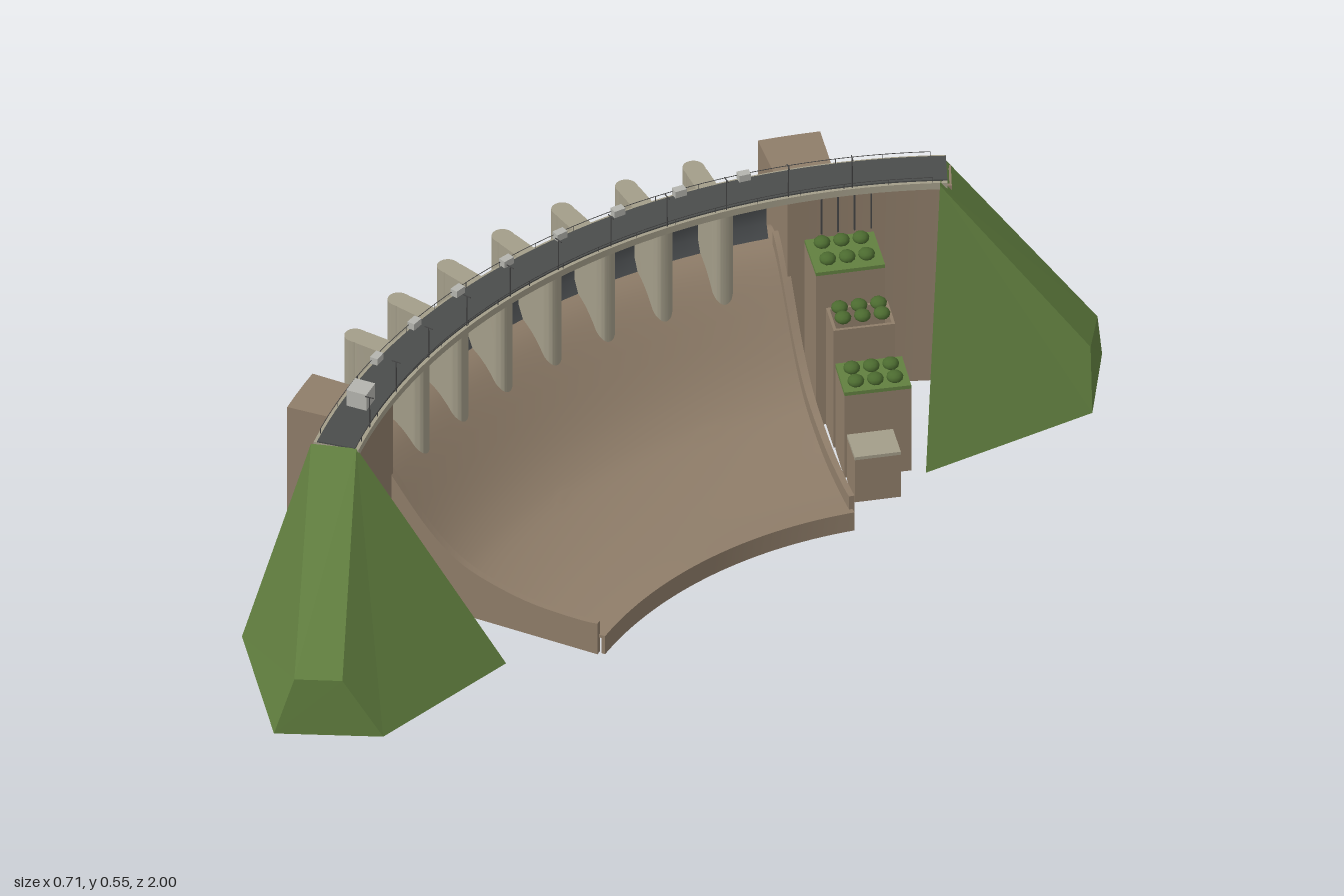
import * as THREE from 'three';
import { toCreasedNormals } from 'three/addons/utils/BufferGeometryUtils.js';

const CX = 1.06; // centre of the arch in plan
const rad = (d) => d * Math.PI / 180;
const A0 = -20.9, BAY = 5.85, A1 = A0 + 8 * BAY; // eight spillway bays
const T = 0.006; // shell thickness

const mat = (name, color) => Object.assign(new THREE.MeshStandardMaterial({ color }), { name });
const rock = mat('brown concrete', 0x8f7d69);
const concrete = mat('pale concrete', 0xa39d89);
const asphalt = mat('asphalt', 0x4a4c4b);
const steel = mat('gate steel', 0x4b4e50);
const grass = mat('grass', 0x628040);
grass.side = THREE.DoubleSide;
const shrub = mat('shrub green', 0x4c6b30);
const metal = mat('dark metal', 0x444444);
const house = mat('light grey', 0xb4b4ae);

export function createModel() {
  const root = new THREE.Group();
  root.name = 'archDam';

  const add = (name, geo, material, parent = root) => {
    const m = new THREE.Mesh(geo, material);
    m.name = name;
    parent.add(m);
    return m;
  };
  // Place an object at radius r and angle a, local +x pointing downstream
  const place = (o, r, a, y) => {
    o.position.set(CX - r * Math.cos(rad(a)), y, r * Math.sin(rad(a)));
    o.rotation.y = rad(a);
    return o;
  };
  // Sweep a closed (radius, height) profile along the arch from angle a to b
  const sweep = (name, pts, a, b, material) => {
    const shape = new THREE.Shape(pts.map(([r, y]) => new THREE.Vector2(r, y)));
    const steps = Math.max(1, Math.round((b - a) / 1.5));
    const g = new THREE.ExtrudeGeometry(shape, { depth: 1, steps, bevelEnabled: false });
    const p = g.attributes.position;
    for (let i = 0; i < p.count; i++) {
      const r = p.getX(i), t = rad(b + (a - b) * p.getZ(i));
      p.setXYZ(i, CX - r * Math.cos(t), p.getY(i), r * Math.sin(t));
    }
    return add(name, toCreasedNormals(g, 0.5), material);
  };
  const band = (name, r0, r1, y0, y1, a, b, material) =>
    sweep(name, [[r0, y0], [r1, y0], [r1, y1], [r0, y1]], a, b, material);

  // Spillway shell: rounded crest, steep chute, flat apron with an end sill
  const curve = new THREE.SplineCurve([
    [1.375, 0.15], [1.374, 0.22], [1.372, 0.29], [1.364, 0.314], [1.342, 0.327], [1.31, 0.322],
    [1.26, 0.284], [1.17, 0.166], [1.11, 0.107], [1.05, 0.074], [0.95, 0.047], [0.85, 0.04], [0.782, 0.043],
  ].map(([r, y]) => new THREE.Vector2(r, y)));
  const top = [], under = [];
  for (let i = 0; i <= 48; i++) {
    const p = curve.getPoint(i / 48), t = curve.getTangent(i / 48);
    top.push([p.x, p.y]);
    under.unshift([p.x - t.y * T, p.y + t.x * T]);
  }
  sweep('spillway', [...top, [0.782, 0], [0.79, 0], [0.79, 0.036], ...under.slice(2)], A0, A1, rock);
  band('upstreamBaseWall', 1.38 - T, 1.38, 0, 0.15, A0, A1, concrete);

  // Training walls that follow the chute on both sides
  const wallTop = top.filter(([r]) => r < 1.3 && r > 0.8).map(([r, y]) => [r, y + 0.03]);
  for (const a of [A0 - 0.3, A1 - 0.3]) {
    sweep('trainingWall', [[1.3, 0], ...wallTop, [0.795, 0.073], [0.795, 0]], a, a + 0.8, rock);
  }

  // Piers with rounded ends; the upstream noses reach the ground
  const capsule = (r0, r1, w, y0, y1) => {
    const h = w / 2, s = new THREE.Shape();
    s.absarc(-r1 + h, 0, h, Math.PI / 2, Math.PI * 1.5, false);
    s.absarc(-r0 - h, 0, h, -Math.PI / 2, Math.PI / 2, false);
    const g = new THREE.ExtrudeGeometry(s, { depth: y1 - y0, bevelEnabled: false, curveSegments: 10 });
    g.rotateX(-Math.PI / 2).translate(0, y0, 0);
    return toCreasedNormals(g, 0.6);
  };
  const body = capsule(1.232, 1.4, 0.042, 0.245, 0.463);
  const nose = capsule(1.37, 1.418, 0.042, 0, 0.463);
  for (let k = 1; k < 8; k++) {
    const pier = new THREE.Group();
    pier.name = 'pier';
    add('pierBody', body, concrete, pier);
    add('pierNose', nose, concrete, pier);
    root.add(place(pier, 0, A0 + k * BAY, 0));
  }

  // Curved gates and hoist boxes, one per bay
  for (let k = 0; k < 8; k++) {
    const a = A0 + k * BAY, mid = a + BAY / 2;
    sweep('gate', [[1.322, 0.32], [1.335, 0.35], [1.335, 0.39], [1.322, 0.42],
      [1.312, 0.42], [1.324, 0.388], [1.324, 0.35], [1.31, 0.32]], a + 0.7, a + BAY - 0.7, steel);
    place(add('hoistBox', new THREE.BoxGeometry(0.016, 0.016, 0.024), house), 1.307, mid, 0.486);
  }

  // Hollow abutment blocks beside the spillway
  for (const [r, a, b] of [[1.437, -25.8, A0], [1.407, A1 + 0.2, 30.9]]) {
    const q = 1.235, h = 0.463;
    sweep('abutment', [[q, 0], [q, h], [r, h], [r, 0], [r - T, 0], [r - T, h - T], [q + T, h - T], [q + T, 0]],
      a, b, rock);
    for (const e of [a, b - 0.25]) band('abutmentEnd', q, r, 0, h, e, e + 0.25, rock);
  }

  // Wing walls: brown downstream and at the end, pale upstream
  for (const [a, b, end] of [[-35.5, -25.8, -35.7], [30.9, 35.5, 35.5]]) {
    band('wingWall', 1.235, 1.235 + T, 0, 0.463, a, b, rock);
    band('wingWallFace', 1.3 - T, 1.3, 0, 0.463, a, b, concrete);
    band('wingWallEnd', 1.235, 1.3, 0, 0.463, end, end + 0.2, rock);
  }

  // Crest road with kerbs and thin handrails
  band('deck', 1.226, 1.316, 0.461, 0.476, -35.3, 35.3, concrete);
  band('road', 1.233, 1.309, 0.476, 0.479, -35.3, 35.3, asphalt);
  for (const r of [1.229, 1.312]) {
    band('handrail', r - 0.0005, r + 0.0005, 0.487, 0.488, -34, 34, metal);
    for (let a = -34; a <= 34; a += 4) {
      place(add('railPost', new THREE.BoxGeometry(0.001, 0.012, 0.001), metal), r, a, 0.482);
    }
  }

  // Lamp posts with a crossbar
  for (let k = -1; k < 10; k++) {
    const lamp = new THREE.Group();
    lamp.name = 'lampPost';
    add('lampPole', new THREE.CylinderGeometry(0.001, 0.0015, 0.07, 6), metal, lamp).position.y = 0.035;
    add('lampArm', new THREE.BoxGeometry(0.018, 0.0015, 0.002), metal, lamp).position.y = 0.07;
    root.add(place(lamp, 1.23, A0 + k * BAY, 0.477));
  }

  // Control house
  place(add('controlHouse', new THREE.BoxGeometry(0.042, 0.038, 0.042), house), 1.275, 28.8, 0.497);

  // Four retaining walls around an open rectangle
  const walls = (w, h, d) => {
    const rect = (C, x, z) => new C([[-x, -z], [x, -z], [x, z], [-x, z]].map((p) => new THREE.Vector2(...p)));
    const s = rect(THREE.Shape, w / 2, d / 2);
    s.holes.push(rect(THREE.Path, w / 2 - T, d / 2 - T));
    return new THREE.ExtrudeGeometry(s, { depth: h, bevelEnabled: false }).rotateX(-Math.PI / 2);
  };
  // Terraces stepping down beside the chute: two lawns and an open planter between them
  const bush = new THREE.IcosahedronGeometry(0.0165, 1);
  for (const [r, a, y, w, d, lawn] of [[1.185, -25.6, 0.355, 0.12, 0.135, true],
    [1.085, -26.2, 0.278, 0.075, 0.12, false], [0.995, -26.6, 0.195, 0.095, 0.13, true]]) {
    const terrace = new THREE.Group();
    terrace.name = 'terrace';
    add('terraceWalls', walls(w, y, d), rock, terrace);
    if (lawn) add('lawn', new THREE.BoxGeometry(w, 0.008, d), grass, terrace).position.y = y + 0.004;
    for (let i = 0; i < 6; i++) {
      const b = add('shrub', bush, shrub, terrace);
      b.position.set((i % 2 - 0.5) * w * 0.45, y + 0.014, (Math.floor(i / 2) - 1) * 0.038);
      b.scale.y = 0.72;
    }
    root.add(place(terrace, r, a, 0));
  }
  place(add('lowerStep', walls(0.075, 0.1, 0.09), rock), 0.905, -25.6, 0);
  place(add('lowerStepCap', new THREE.BoxGeometry(0.075, 0.007, 0.09), concrete), 0.905, -25.6, 0.1035);

  // Dark slots in the wall above the upper terrace
  for (let k = 0; k < 4; k++) {
    place(add('wallSlot', new THREE.BoxGeometry(0.004, 0.085, 0.003), metal), 1.234, -24 - k * 1.5, 0.415);
  }

  // Faceted hillsides at both ends, open underneath: base 0-3, shoulder 4-5, ridge 6-7
  const hill = (pts, flip) => {
    const quads = [[0, 1, 4, 6], [1, 2, 5, 4], [2, 3, 7, 5], [3, 0, 6, 7], [4, 5, 7, 6]];
    const corners = quads.flatMap(([a, b, c, d]) => flip ? [c, b, a, d, c, a] : [a, b, c, a, c, d]);
    const g = new THREE.BufferGeometry();
    g.setAttribute('position', new THREE.Float32BufferAttribute(corners.flatMap((i) => pts[i]), 3));
    g.computeVertexNormals();
    add('hillside', g, grass);
  };
  hill([[-0.11, 0, 0.86], [0.175, 0, 1], [0.31, 0, 0.84], [0.265, 0, 0.51],
    [0.2, 0.13, 0.97], [0.26, 0.13, 0.9], [-0.01, 0.478, 0.77], [0.055, 0.478, 0.71]], false);
  hill([[-0.125, 0, -0.84], [0.165, 0, -1], [0.305, 0, -0.87], [0.265, 0, -0.5],
    [0.19, 0.117, -0.97], [0.26, 0.117, -0.9], [-0.01, 0.478, -0.75], [0.06, 0.478, -0.69]], true);

  return root;
}
